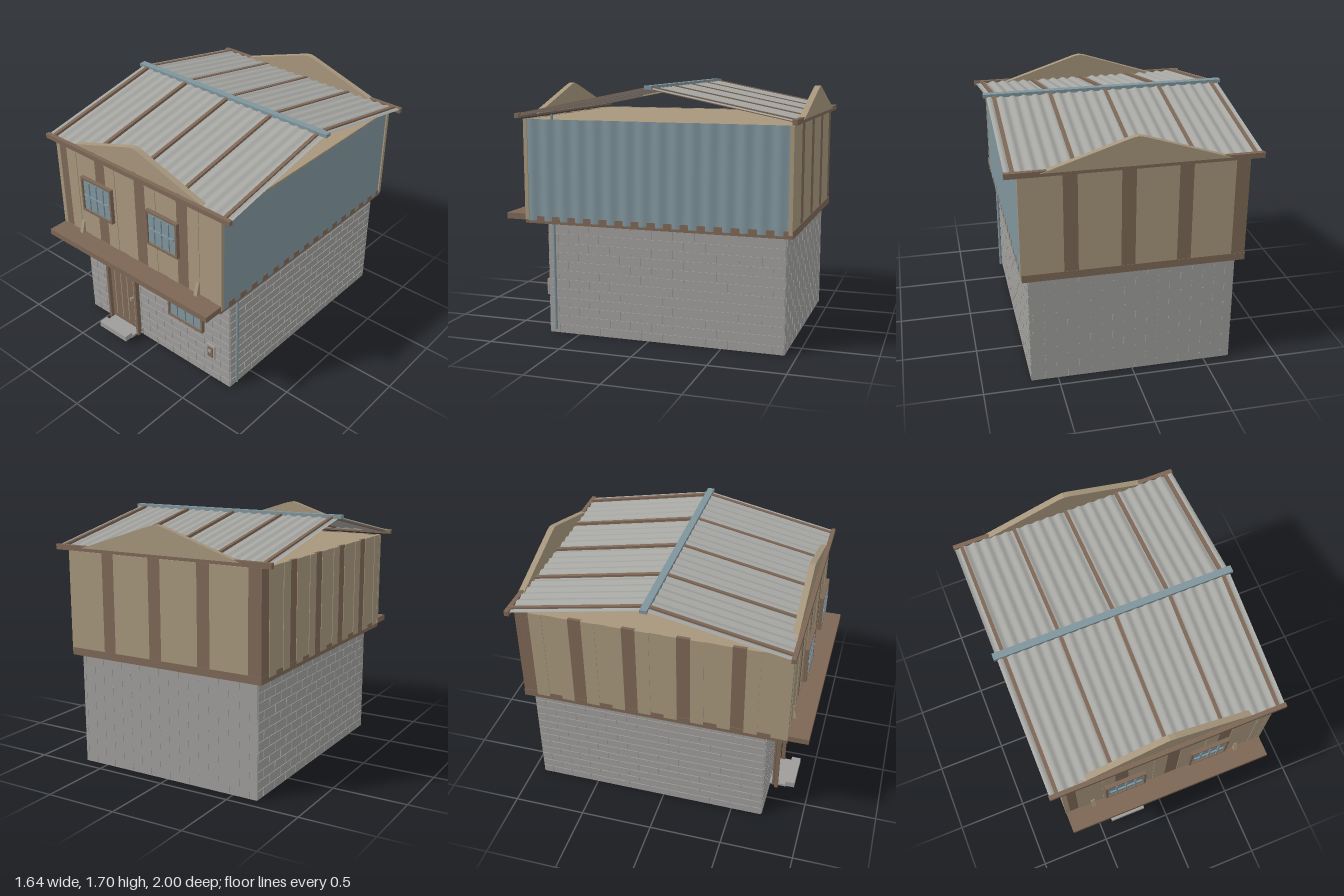
import * as THREE from 'three';
import { mergeGeometries } from 'three/addons/utils/BufferGeometryUtils.js';

const paint = (name, color, side = THREE.FrontSide) => {
  const m = new THREE.MeshStandardMaterial({ color, side });
  m.name = name;
  return m;
};

export function createModel() {
  const house = new THREE.Group();
  house.name = 'house';
  const block = paint('blockGrey', 0x9e9d9a);
  const tin = paint('roofTin', 0xa5a5a2, THREE.DoubleSide);
  const tan = paint('paleWood', 0xa6967c);
  const brown = paint('darkWood', 0x7d6756);
  const blue = paint('paintedBlue', 0x7f949c, THREE.DoubleSide);

  const add = (name, geo, mat, parent = house) => {
    const m = new THREE.Mesh(geo, mat);
    m.name = name;
    parent.add(m);
    return m;
  };
  // box geometry from its min and max corners
  const span = (x0, x1, y0, y1, z0, z1) =>
    new THREE.BoxGeometry(x1 - x0, y1 - y0, z1 - z0).translate((x0 + x1) / 2, (y0 + y1) / 2, (z0 + z1) / 2);
  const box = (name, mat, ...s) => add(name, span(...s), mat);
  // wavy sheet in the xy plane, waves running along x
  const corrugated = (w, h, waves, amp) => {
    const g = new THREE.PlaneGeometry(w, h, waves * 8, 1);
    const p = g.attributes.position;
    for (let i = 0; i < p.count; i++) p.setZ(i, amp * Math.sin((p.getX(i) / w + 0.5) * waves * Math.PI * 2));
    g.computeVertexNormals();
    return g;
  };

  // ground floor: core with staggered blocks on front and sides
  box('groundFloor', block, -0.675, 0.675, 0, 0.77, -0.92, 0.715);
  const rows = 12, rowH = 0.76 / rows, gap = 0.008, proud = 0.005;
  const courses = (len, bricks) => {
    const list = [], bw = len / bricks;
    for (let r = 0; r < rows; r++) {
      for (let i = 0; i <= bricks; i++) {
        const off = r % 2 ? 0 : bw / 2;
        const a = Math.max(-len / 2, -len / 2 + i * bw - off);
        const b = Math.min(len / 2, -len / 2 + (i + 1) * bw - off);
        if (b - a > 0.02) list.push(span(a + gap / 2, b - gap / 2, r * rowH + gap / 2, (r + 1) * rowH - gap / 2, 0, proud));
      }
    }
    return mergeGeometries(list);
  };
  add('frontBlocks', courses(1.35, 9), block).position.z = 0.715;
  for (const s of [-1, 1]) {
    const m = add('sideBlocks', courses(1.635, 11), block);
    m.rotation.y = s * Math.PI / 2;
    m.position.set(s * 0.675, 0, -0.1025);
  }
  // short upright joints on the back
  const joints = [];
  for (let r = 0; r < rows; r++) for (let i = 0; i < 9; i++) {
    const x = -0.62 + i * 0.15 + (r % 2) * 0.075;
    if (x < 0.66) joints.push(span(x - 0.004, x + 0.004, r * rowH + 0.008, (r + 1) * rowH - 0.008, -0.925, -0.919));
  }
  add('backJoints', mergeGeometries(joints), block);

  // upper floor: core and upright planks, every fourth one dark
  box('upperFloor', tan, -0.71, 0.705, 0.78, 1.465, -0.955, 0.835);
  const planks = (name, len, count, place) => {
    const sets = [[], []], w = len / count;
    for (let k = 0; k < count; k++) {
      const a = -len / 2 + k * w;
      sets[k % 4 ? 0 : 1].push(span(a, a + w, 0.79, 1.468, 0, k % 2 ? 0.025 : 0.021));
    }
    sets.forEach((s, i) => place(add(name, mergeGeometries(s), i ? brown : tan)));
  };
  planks('frontPlanks', 1.45, 16, m => { m.position.z = 0.835; });
  planks('backPlanks', 1.45, 16, m => { m.position.z = -0.965; });
  planks('leftPlanks', 1.80, 20, m => { m.rotation.y = -Math.PI / 2; m.position.set(-0.703, 0, -0.06); });
  box('cornerPost', tan, -0.729, -0.697, 0.79, 1.468, 0.83, 0.863);
  box('cornerPost', tan, 0.697, 0.727, 0.79, 1.468, 0.835, 0.861);

  // blue corrugated cladding
  const cladding = add('sideCladding', corrugated(1.80, 0.685, 16, 0.005), blue);
  cladding.rotation.y = Math.PI / 2;
  cladding.position.set(0.72, 1.1255, -0.065);

  // floor beams and front ledge
  box('floorBeams', brown, -0.727, 0.72, 0.765, 0.815, -0.968, 0.862);
  box('frontLedge', brown, -0.727, 0.724, 0.787, 0.828, 0.85, 1.0);
  const wedge = new THREE.Shape([[0, 0], [0.03, 0], [0.005, 0.09], [0, 0.09]].map(p => new THREE.Vector2(...p)));
  for (const x of [-0.53, 0.53]) {
    const m = add('ledgeBracket', new THREE.ExtrudeGeometry(wedge, { depth: 0.026, bevelEnabled: false }), tan);
    m.rotation.y = -Math.PI / 2;
    m.position.set(x + 0.013, 0.828, 0.858);
  }

  // roof slopes with battens
  const slope = (name, run, turn) => {
    const drop = 0.185, len = Math.hypot(run, drop);
    const side = new THREE.Group(), tilt = new THREE.Group();
    side.name = name;
    side.position.set(0, 1.683, -0.055);
    side.rotation.y = turn;
    tilt.rotation.x = Math.atan2(drop, run);
    side.add(tilt);
    house.add(side);
    const sheet = add('roofSheet', corrugated(1.6, len, 21, 0.007).rotateX(-Math.PI / 2), tin, tilt);
    sheet.position.z = len / 2;
    for (let i = -2; i <= 2; i++)
      add('batten', span(i * 0.375 - 0.012, i * 0.375 + 0.012, -0.01, 0.012, 0, len), brown, tilt);
    return tilt;
  };
  const front = slope('frontSlope', 0.92, 0);
  slope('backSlope', 0.93, Math.PI);
  add('roofPatch', span(-0.42, -0.235, -0.018, -0.009, 0.01, 0.43), tan, front);
  box('ridgeCap', blue, -0.82, 0.82, 1.676, 1.7, -0.08, -0.033);

  // eave boards and gable panels
  box('frontEave', brown, -0.805, 0.805, 1.478, 1.51, 0.853, 0.882);
  box('backEave', brown, -0.805, 0.805, 1.475, 1.51, -0.995, -0.965);
  const tri = new THREE.Shape([[-0.59, 1.497], [0.59, 1.497], [0.04, 1.675], [0, 1.683], [-0.04, 1.675]].map(p => new THREE.Vector2(...p)));
  for (const z of [0.812, -1.0])
    add('gablePanel', new THREE.ExtrudeGeometry(tri, { depth: 0.04, bevelEnabled: false }), tan).position.z = z;

  // frame with an opening
  const frame = (name, x0, x1, y0, y1, z, t) => {
    const rect = (Ctor, d) => new Ctor([[x0 + d, y0 + d], [x1 - d, y0 + d], [x1 - d, y1 - d], [x0 + d, y1 - d]].map(p => new THREE.Vector2(...p)));
    const s = rect(THREE.Shape, 0);
    s.holes.push(rect(THREE.Path, t));
    add(name, new THREE.ExtrudeGeometry(s, { depth: 0.027, bevelEnabled: false }), brown).position.z = z;
  };
  const win = (x0, x1, y0, y1, z) => {
    frame('windowFrame', x0, x1, y0, y1, z, 0.014);
    box('windowPane', blue, x0 + 0.013, x1 - 0.013, y0 + 0.013, y1 - 0.013, z + 0.008, z + 0.016);
    const cx = (x0 + x1) / 2, cy = (y0 + y1) / 2, w = x1 - x0;
    for (const i of [-1, 0, 1])
      box('windowBar', blue, cx + i * w * 0.235 - 0.005, cx + i * w * 0.235 + 0.005, y0 + 0.025, y1 - 0.025, z + 0.02, z + 0.03);
    box('windowBar', blue, x0 + 0.028, x1 - 0.028, cy - 0.005, cy + 0.005, z + 0.021, z + 0.031);
  };
  win(-0.45, -0.17, 1.07, 1.33, 0.888);
  win(0.145, 0.41, 1.07, 1.33, 0.888);
  win(0.18, 0.49, 0.42, 0.683, 0.758);

  // door
  box('door', brown, -0.42, -0.145, 0.05, 0.645, 0.74, 0.752);
  frame('doorFrame', -0.43, -0.135, 0.04, 0.665, 0.757, 0.02);
  for (const x of [-0.375, -0.312, -0.25, -0.187]) box('doorGroove', tan, x - 0.003, x + 0.003, 0.1, 0.615, 0.75, 0.756);
  box('doorHandle', block, -0.207, -0.197, 0.32, 0.345, 0.75, 0.775);
  box('doorStep', block, -0.41, -0.145, 0.055, 0.097, 0.835, 0.9);
  box('stepTread', block, -0.41, -0.145, 0.048, 0.066, 0.72, 0.84);

  // meter box
  box('meterPlate', block, 0.52, 0.59, 0.24, 0.35, 0.762, 0.776);
  box('meterCover', brown, 0.534, 0.58, 0.255, 0.335, 0.774, 0.782);
  box('meterDial', block, 0.546, 0.568, 0.295, 0.32, 0.78, 0.788);

  // rain pipe
  add('rainPipe', new THREE.CylinderGeometry(0.01, 0.01, 1.47, 10), blue).position.set(0.695, 0.765, 0.665);
  return house;
}
